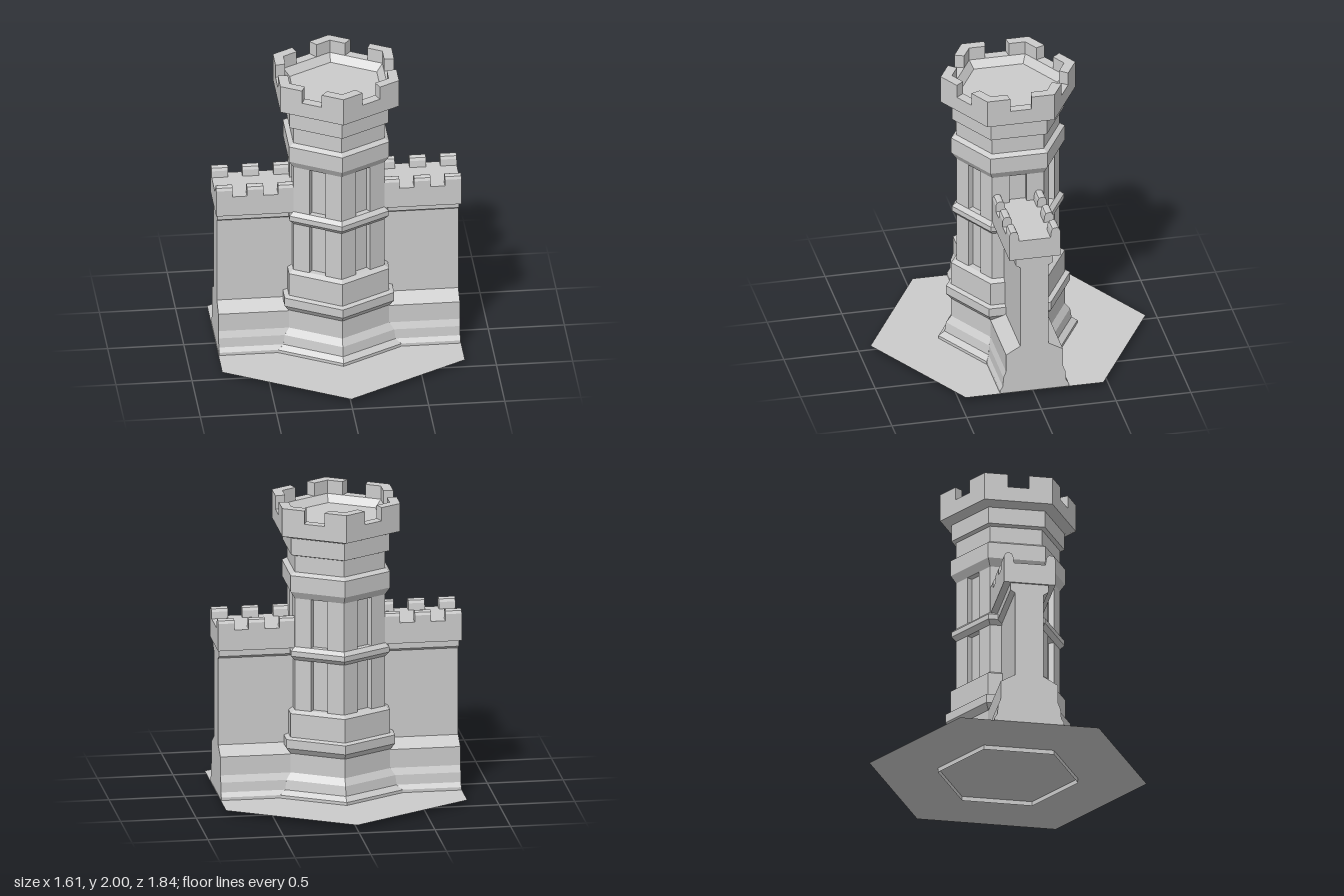
import * as THREE from 'three';

const C30 = Math.cos(Math.PI / 6);
const mat = new THREE.MeshStandardMaterial({ color: 0xcccccc, flatShading: true, side: THREE.DoubleSide });
const V = (x, y) => new THREE.Vector2(x, y);

function add(parent, name, geometry) {
  const mesh = new THREE.Mesh(geometry, mat);
  mesh.name = name;
  parent.add(mesh);
  return mesh;
}

// Six-sided solid from [radius, height] pairs, a corner facing +z
const hexLathe = (profile) => new THREE.LatheGeometry(profile.map(([r, y]) => V(r, y)), 6);

// Upright prism from a plan outline
function prism(points, y0, y1) {
  const g = new THREE.ExtrudeGeometry(new THREE.Shape(points), { depth: y1 - y0, bevelEnabled: false });
  return g.rotateX(-Math.PI / 2).translate(0, y0, 0);
}

// Bar along x from a (z, y) section
function bar(section, x0, x1) {
  const shape = new THREE.Shape(section.map(([z, y]) => V(-z, y)));
  const g = new THREE.ExtrudeGeometry(shape, { depth: x1 - x0, bevelEnabled: false });
  return g.rotateY(Math.PI / 2).translate(x0, 0, 0);
}

// Point on hexagon face k: apothem outward, offset t along the face
function onFace(k, apothem, t) {
  const a = k * Math.PI / 3;
  return V(Math.cos(a) * apothem - Math.sin(a) * t, Math.sin(a) * apothem + Math.cos(a) * t);
}

// Hexagon with a window slot cut into the middle of each face
function slottedHex(radius, half, depth) {
  const pts = [], a = radius * C30;
  for (let k = 0; k < 6; k++) {
    pts.push(onFace(k, a, -half), onFace(k, a - depth, -half),
      onFace(k, a - depth, half), onFace(k, a, half), onFace(k, a, radius / 2));
  }
  return pts;
}

function createTower() {
  const tower = new THREE.Group();
  tower.name = 'tower';
  add(tower, 'towerBase', hexLathe([
    [0.465, 0], [0.465, 0.05], [0.425, 0.08], [0.415, 0.145], [0.38, 0.19], [0.38, 0.32],
    [0.415, 0.36], [0.415, 0.42], [0.38, 0.43], [0.38, 0.59], [0.345, 0.61], [0, 0.61]]));
  add(tower, 'middleMoulding', hexLathe([
    [0, 0.95], [0.345, 0.95], [0.375, 0.98], [0.375, 1.015], [0.345, 1.04], [0, 1.04]]));
  add(tower, 'towerHead', hexLathe([
    [0, 1.37], [0.345, 1.37], [0.38, 1.42], [0.38, 1.53], [0.345, 1.55], [0.345, 1.66],
    [0.375, 1.67], [0.375, 1.785], [0.45, 1.81], [0.45, 1.91], [0.375, 1.91],
    [0.33, 1.86], [0, 1.86]]));

  // Two storeys with recessed windows
  const plan = slottedHex(0.345, 0.058, 0.04);
  add(tower, 'lowerWindows', prism(plan, 0.6, 0.96));
  add(tower, 'upperWindows', prism(plan, 1.03, 1.38));

  // Corner battlements
  const ro = 0.45, ri = 0.375;
  for (let k = 0; k < 6; k++) {
    add(tower, 'towerBattlement', prism([
      onFace(k, ro * C30, 0.07), onFace(k, ro * C30, ro / 2), onFace(k + 1, ro * C30, -0.07),
      onFace(k + 1, ri * C30, -0.08), onFace(k, ri * C30, ri / 2), onFace(k, ri * C30, 0.08)],
    1.91, 2));
  }
  return tower;
}

function createWall() {
  const wall = new THREE.Group();
  wall.name = 'wall';

  // Stepped wall, mirrored about z = 0
  const half = [
    [0.23, 0.03], [0.23, 0.05], [0.212, 0.08], [0.207, 0.145], [0.19, 0.19], [0.19, 0.315],
    [0.095, 0.37], [0.095, 0.96], [0.125, 0.98], [0.125, 1.03]];
  const section = [...half, ...half.map(([z, y]) => [-z, y]).reverse()];
  add(wall, 'wallBody', bar(section, -0.793, 0.793));
  add(wall, 'walkway', new THREE.BoxGeometry(1.61, 0.14, 0.34).translate(0, 1.1, 0));

  // Round-topped battlements along both edges
  const merlon = [[0.17, 1.17], [0.17, 1.215], [0.162, 1.234], [0.15, 1.24],
    [0.13, 1.24], [0.118, 1.234], [0.11, 1.215], [0.105, 1.17]];
  for (const side of [-1, 1]) {
    for (const x of [0.29, 0.495, 0.697]) {
      const x1 = x + 0.108;
      for (const s of [-1, 1]) {
        add(wall, 'wallBattlement', bar(merlon.map(([z, y]) => [z * s, y]),
          side > 0 ? x : -x1, side > 0 ? x1 : -x));
      }
    }
  }
  return wall;
}

export function createModel() {
  const model = new THREE.Group();
  model.name = 'castleTower';
  // Thin hexagonal ground plate
  add(model, 'groundPlate', new THREE.CircleGeometry(0.92, 6, Math.PI / 2)
    .rotateX(-Math.PI / 2).translate(0, 0.03, 0));
  model.add(createTower(), createWall());
  return model;
}
